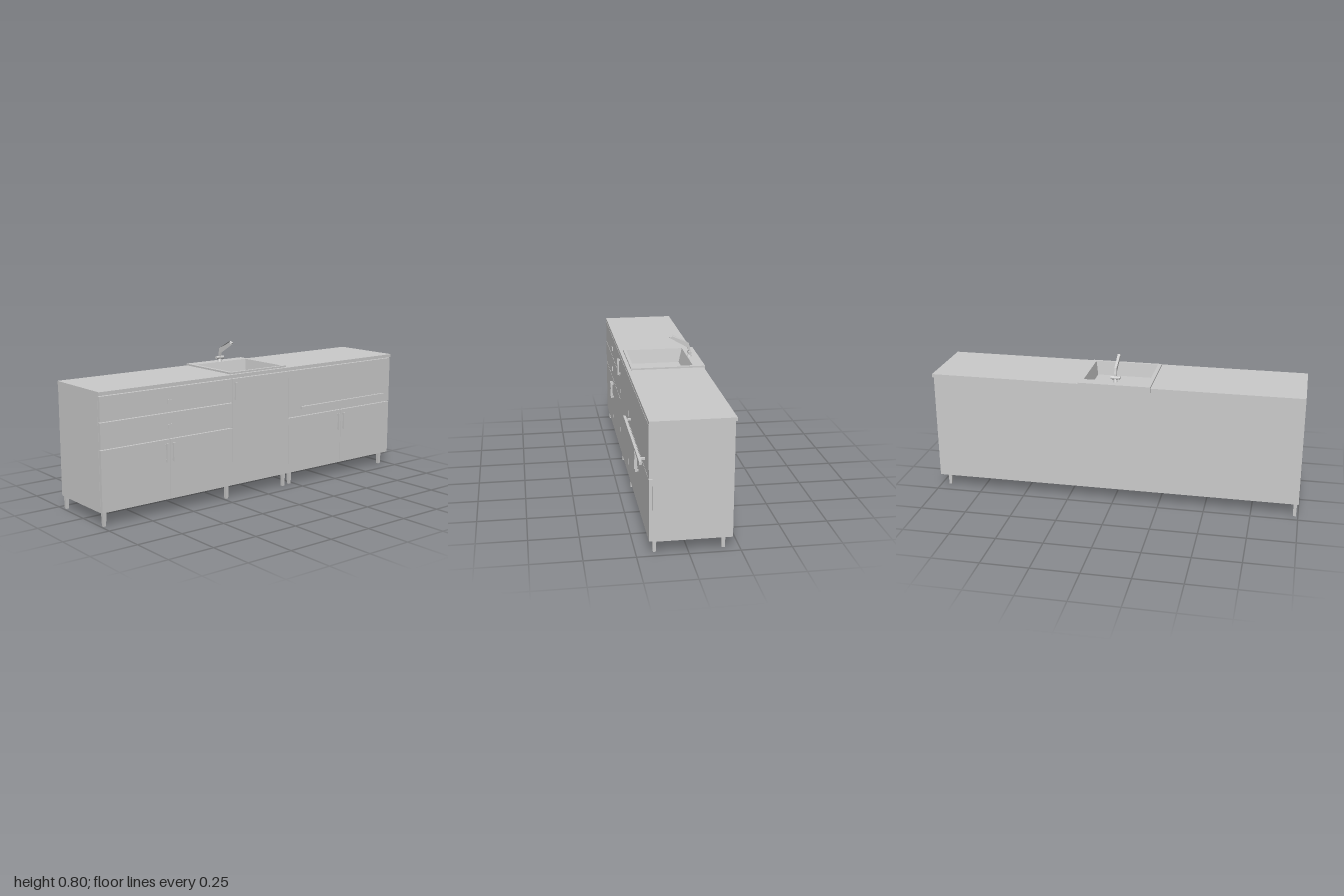
import * as THREE from 'three';

const mat = new THREE.MeshStandardMaterial({ color: 0xcccccc, side: THREE.DoubleSide, flatShading: true });

export function createModel() {
  const model = new THREE.Group();

  const add = (name, geometry) => {
    const mesh = new THREE.Mesh(geometry, mat);
    mesh.name = name;
    model.add(mesh);
    return mesh;
  };

  // Box given by its limits on each axis
  const box = (name, x0, x1, y0, y1, z0, z1) =>
    add(name, new THREE.BoxGeometry(x1 - x0, y1 - y0, z1 - z0))
      .position.set((x0 + x1) / 2, (y0 + y1) / 2, (z0 + z1) / 2);

  // Horizontal slab with a rectangular opening
  const rect = (path, x0, x1, z0, z1) => {
    path.moveTo(x0, -z1).lineTo(x1, -z1).lineTo(x1, -z0).lineTo(x0, -z0).closePath();
    return path;
  };
  const slab = (name, outer, hole, y0, y1) => {
    const shape = rect(new THREE.Shape(), ...outer);
    shape.holes.push(rect(new THREE.Path(), ...hole));
    const g = new THREE.ExtrudeGeometry(shape, { depth: y1 - y0, bevelEnabled: false });
    g.rotateX(-Math.PI / 2);
    add(name, g).position.y = y0;
  };

  // Carcasses; the middle one stays hollow for the basin
  box('leftCarcass', -1, -0.197, 0.07, 0.65, -0.21, 0.172);
  box('rightCarcass', 0.193, 0.993, 0.07, 0.65, -0.21, 0.172);
  box('sinkCabinetBottom', -0.197, 0.193, 0.07, 0.085, -0.21, 0.172);
  box('sinkCabinetBack', -0.197, 0.193, 0.085, 0.65, -0.21, -0.2);

  // Door and drawer fronts, with narrow gaps
  const front = (name, x0, x1, y0, y1) =>
    box(name, x0 + 0.0015, x1 - 0.0015, y0 + 0.002, y1 - 0.002, 0.172, 0.19);
  front('upperDrawer', -1, -0.197, 0.52, 0.648);
  front('lowerDrawer', -1, -0.197, 0.385, 0.52);
  front('leftDoorA', -1, -0.598, 0.07, 0.385);
  front('leftDoorB', -0.598, -0.197, 0.07, 0.385);
  front('sinkDoor', -0.197, 0.193, 0.07, 0.648);
  front('ovenFront', 0.193, 0.993, 0.385, 0.648);
  front('rightDoorA', 0.193, 0.593, 0.07, 0.385);
  front('rightDoorB', 0.593, 0.993, 0.07, 0.385);

  // Drawer knobs
  for (const y of [0.575, 0.45]) box('drawerKnob', -0.61, -0.588, y - 0.011, y + 0.011, 0.19, 0.196);

  // Upright door handles
  const handle = (x, y0) => {
    box('doorHandle', x - 0.005, x + 0.005, y0, y0 + 0.095, 0.197, 0.207);
    for (const y of [y0 + 0.003, y0 + 0.083])
      box('doorHandlePost', x - 0.004, x + 0.004, y, y + 0.009, 0.188, 0.199);
  };
  for (const x of [-0.622, -0.581, 0.57, 0.61]) handle(x, 0.269);
  handle(-0.183, 0.534);

  // Long horizontal rail
  box('ovenRail', 0.262, 0.92, 0.431, 0.446, 0.212, 0.225);
  for (const x of [0.308, 0.863]) box('ovenRailPost', x - 0.007, x + 0.007, 0.434, 0.443, 0.188, 0.213);

  // Tapered square legs
  const legs = [[-0.982, 0.172], [-0.229, 0.172], [0.169, 0.172], [0.226, 0.16], [0.95, 0.16],
    [-0.982, -0.2], [0.95, -0.172]];
  for (const [x, z] of legs) {
    const g = new THREE.CylinderGeometry(0.0135, 0.0105, 0.07, 4, 1);
    g.rotateY(Math.PI / 4);
    add('leg', g).position.set(x, 0.035, z);
  }

  // Worktop and sink rim
  slab('worktop', [-1, 1, -0.216, 0.19], [-0.19, 0.178, -0.19, 0.162], 0.65, 0.668);
  slab('sinkRim', [-0.2, 0.186, -0.223, 0.171], [-0.18, 0.168, -0.16, 0.155], 0.666, 0.677);
  box('sinkBackLip', -0.2, 0.186, 0.646, 0.667, -0.223, -0.216);

  // Basin: sloping walls, open at the top, with a flat floor
  const floorY = 0.6;
  const basin = new THREE.BoxGeometry(0.348, 0.677 - floorY, 0.315);
  const p = basin.attributes.position;
  for (let i = 0; i < p.count; i++) {
    if (p.getY(i) < 0) {
      p.setX(i, p.getX(i) * 0.94);
      p.setZ(i, p.getZ(i) > 0 ? 0.149 : -0.138);
    }
  }
  // Drop the top face, the third of six
  const index = Array.from(basin.index.array);
  index.splice(12, 6);
  basin.setIndex(index);
  basin.clearGroups();
  basin.computeVertexNormals();
  add('basin', basin).position.set(-0.006, (0.677 + floorY) / 2, -0.0025);

  // Tap: flared foot, cross handle and angled spout
  const tapX = -0.006, tapZ = -0.172;
  add('tapFoot', new THREE.CylinderGeometry(0.006, 0.014, 0.024, 12)).position.set(tapX, 0.688, tapZ);
  const cross = new THREE.CylinderGeometry(0.009, 0.009, 0.05, 12);
  cross.rotateZ(Math.PI / 2);
  add('tapHandle', cross).position.set(tapX, 0.7, tapZ);

  // Spout as one side profile of constant thickness
  const spout = new THREE.Shape([
    [-0.177, 0.7], [-0.167, 0.7], [-0.159, 0.759], [-0.077, 0.801], [-0.057, 0.793],
    [-0.06, 0.787], [-0.077, 0.793], [-0.168, 0.753], [-0.176, 0.72],
  ].map(([z, y]) => new THREE.Vector2(-z, y)));
  // Shape x runs along -z after the turn
  const sg = new THREE.ExtrudeGeometry(spout, { depth: 0.012, bevelEnabled: false });
  sg.rotateY(Math.PI / 2);
  add('tapSpout', sg).position.x = tapX - 0.006;

  return model;
}
